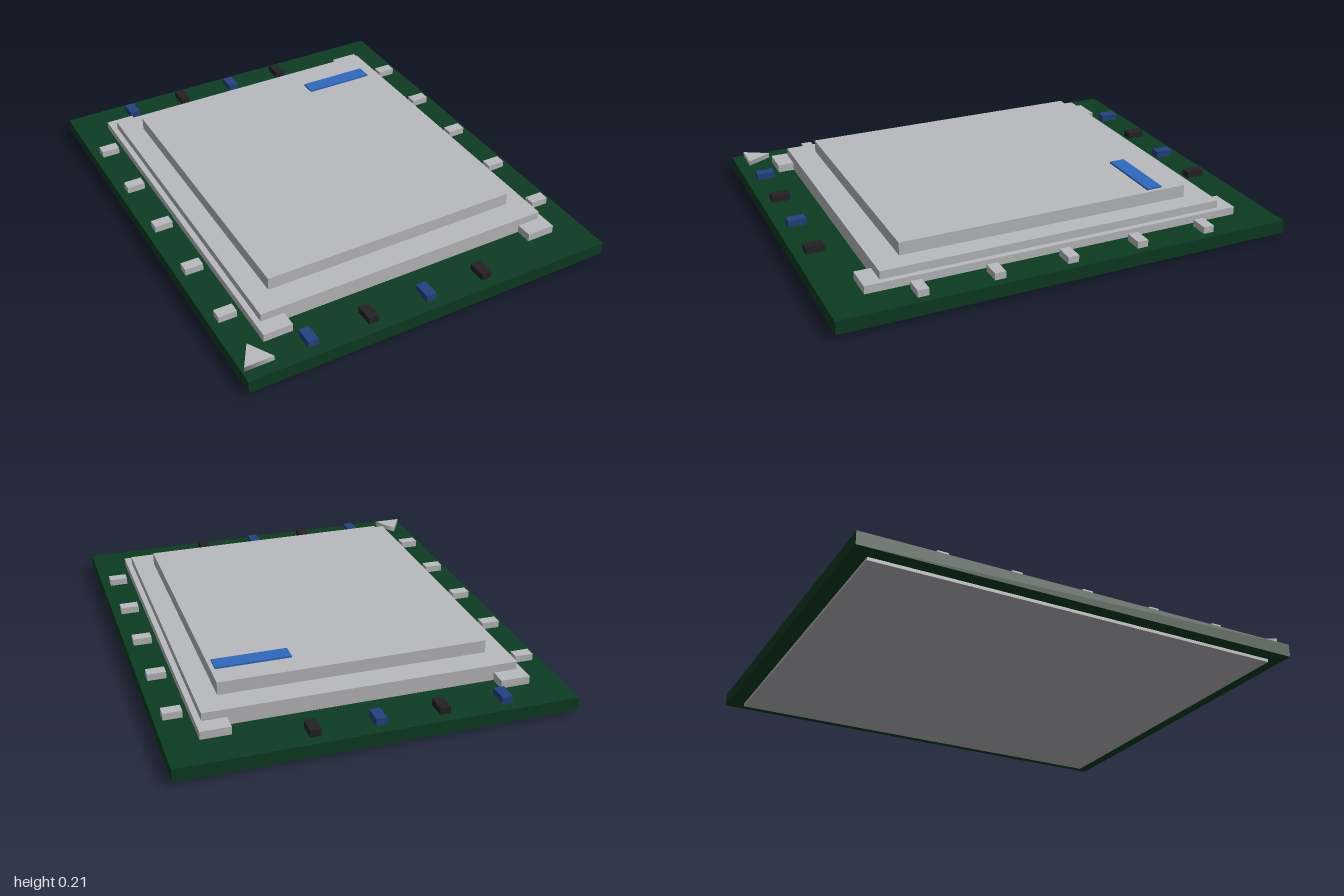
import * as THREE from 'three';

const mat = (name, color) => {
  const m = new THREE.MeshStandardMaterial({ color });
  m.name = name;
  return m;
};

export function createModel() {
  const green = mat('board green', 0x0d3b22);
  const silver = mat('silver metal', 0xb9babd);
  const blue = mat('label blue', 0x3069bd);
  const navy = mat('component navy', 0x23427f);
  const black = mat('component black', 0x242224);

  const model = new THREE.Group();
  model.name = 'circuitModule';

  // Box spanning y0..y1, centred on x and z
  const box = (name, material, w, d, y0, y1, x = 0, z = 0) => {
    const mesh = new THREE.Mesh(new THREE.BoxGeometry(w, y1 - y0, d), material);
    mesh.name = name;
    mesh.position.set(x, (y0 + y1) / 2, z);
    model.add(mesh);
  };

  const top = 0.072; // upper face of the board

  // Board and the thermal pad beneath it
  box('bottomPad', silver, 1.54, 1.86, 0, 0.014);
  box('board', green, 1.666, 2, 0.014, top);

  // Stepped metal lid with clamping rails whose ends stick out as tabs
  box('lidBase', silver, 1.332, 1.536, top, 0.142);
  box('lidTop', silver, 1.15, 1.31, 0.142, 0.198);
  for (const side of [-1, 1]) box('lidRail', silver, 0.127, 1.68, top, 0.107, side * 0.627);

  // Label strip on the lid
  box('labelStrip', blue, 0.32, 0.07, 0.198, 0.206, 0.397, -0.515);

  // Contacts along both long edges
  for (const side of [-1, 1])
    for (let i = -2; i <= 2; i++)
      box('sideContact', silver, 0.08, 0.048, top, 0.102, side * 0.757, i * 0.32);

  // Alternating components along the front and back edges
  for (const side of [-1, 1])
    for (let i = 0; i < 4; i++)
      box('edgeComponent', i % 2 ? black : navy, 0.045, 0.08, top, 0.102, -0.535 + i * 0.267, side * 0.912);

  // Triangular corner marker pointing to the back
  const marker = new THREE.Mesh(new THREE.CylinderGeometry(0.073, 0.073, 0.022, 3), silver);
  marker.name = 'cornerMarker';
  marker.rotation.y = Math.PI;
  marker.position.set(-0.76, top + 0.011, 0.909);
  model.add(marker);

  return model;
}
